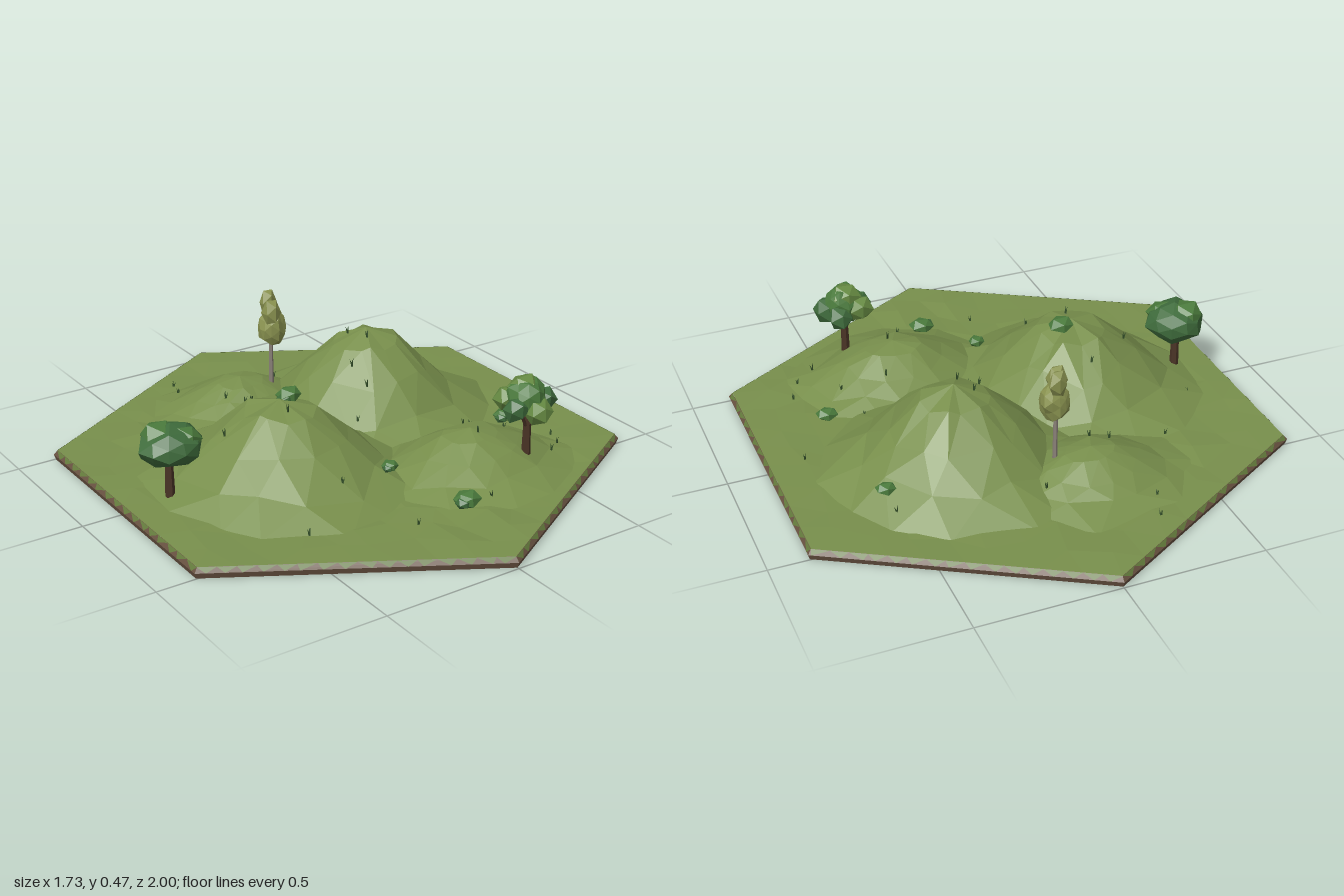
import * as THREE from 'three';

const TOP = 0.037;
const paint = (color, side = THREE.FrontSide) => new THREE.MeshStandardMaterial({ color, flatShading: true, roughness: 1, side });
const grass = paint(0x788f4c), soil = paint(0x66503f), under = paint(0x3c332a), bark = paint(0x4a3426);
const paleBark = paint(0x8a8178), leaf = paint(0x4a7a3c), lightLeaf = paint(0x668a42), darkLeaf = paint(0x3f6c3c);
const oliveLeaf = paint(0x8a9350), tuft = paint(0x34502a, THREE.DoubleSide);

// Repeatable noise in -1..1, equal for coincident points
function noise(x, y, z) {
  const s = Math.sin(Math.round(x * 1000) * 12.9898 + Math.round(y * 1000) * 78.233 + Math.round(z * 1000) * 37.719) * 43758.5453;
  return (s - Math.floor(s)) * 2 - 1;
}

// Hills: centre, radii, height
const hills = [
  { name: 'leftHill', x: -0.3, z: 0.09, rx: 0.48, rz: 0.52, h: 0.275 },
  { name: 'rightHill', x: 0.26, z: -0.21, rx: 0.47, rz: 0.47, h: 0.31 },
  { name: 'frontMound', x: 0.27, z: 0.4, rx: 0.42, rz: 0.33, h: 0.142 },
  { name: 'backMound', x: -0.13, z: -0.46, rx: 0.37, rz: 0.3, h: 0.12 },
];
const slope = r => (r < 1 ? Math.cos(r * Math.PI / 2) ** 2 : 0);
const groundY = (x, z) => Math.max(...hills.map(k => TOP + k.h * slope(Math.hypot((x - k.x) / k.rx, (z - k.z) / k.rz))));

function add(group, name, geometry, material, x = 0, y = 0, z = 0) {
  const mesh = new THREE.Mesh(geometry, material);
  mesh.name = name;
  mesh.position.set(x, y, z);
  group.add(mesh);
  return mesh;
}

// Indexed surface, each triangle turned to face up
function surface(pts, tris) {
  const index = [];
  for (const [a, b, c] of tris) {
    const [A, B, C] = [pts[a], pts[b], pts[c]];
    const up = (B[2] - A[2]) * (C[0] - A[0]) - (B[0] - A[0]) * (C[2] - A[2]);
    index.push(...(up > 0 ? [a, b, c] : [a, c, b]));
  }
  const g = new THREE.BufferGeometry();
  g.setAttribute('position', new THREE.Float32BufferAttribute(pts.flat(), 3));
  g.setIndex(index);
  g.computeVertexNormals();
  return g;
}

// Gently uneven hexagonal meadow on a triangular lattice
function meadowGeometry(n = 8, radius = 0.985) {
  const pts = [], ids = new Map(), tris = [], s = radius / n;
  for (let i = -n; i <= n; i++) for (let j = -n; j <= n; j++) {
    const ring = Math.max(Math.abs(i), Math.abs(j), Math.abs(i + j));
    if (ring > n) continue;
    const k = ring < n ? 1 : 0;
    ids.set(i + ',' + j, pts.length);
    pts.push([j * s * 0.866 + k * 0.028 * noise(i, j, 1), TOP + k * 0.006 * noise(i, j, 2), (i + j / 2) * s + k * 0.028 * noise(i, j, 3)]);
  }
  const id = (i, j) => ids.get(i + ',' + j);
  for (let i = -n; i <= n; i++) for (let j = -n; j <= n; j++) {
    for (const t of [[id(i, j), id(i + 1, j), id(i, j + 1)], [id(i + 1, j), id(i + 1, j + 1), id(i, j + 1)]]) {
      if (t.every(v => v !== undefined)) tris.push(t);
    }
  }
  return surface(pts, tris);
}

// Faceted dome of staggered rings
function hillGeometry({ x, z, rx, rz, h }, seed) {
  const radii = [0.24, 0.46, 0.7, 1], n = 13, pts = [[x, TOP + h, z]], tris = [];
  radii.forEach((r, ring) => {
    for (let i = 0; i < n; i++) {
      const a = (i + ring / 2 + 0.3 * noise(i, ring, seed)) / n * Math.PI * 2;
      const d = r * (1 + 0.09 * noise(i, ring, seed + 9));
      const y = ring === 3 ? TOP - 0.008 : TOP + h * slope(d) * (1 + 0.05 * noise(i, ring, seed + 5));
      pts.push([x + Math.cos(a) * d * rx, y, z + Math.sin(a) * d * rz]);
      const at = (q, k) => 1 + q * n + (k + n) % n;
      if (ring === 0) tris.push([0, at(0, i), at(0, i + 1)]);
      else tris.push([at(ring - 1, i), at(ring - 1, i + 1), at(ring, i)], [at(ring - 1, i + 1), at(ring, i), at(ring, i + 1)]);
    }
  });
  return surface(pts, tris);
}

// Rim of tapering soil with grass wedges hanging over it
function rimWedges(count = 16) {
  const pos = [];
  const corner = (k, r) => [Math.sin(k * Math.PI / 3) * r, Math.cos(k * Math.PI / 3) * r];
  for (let k = 0; k < 6; k++) {
    const at = (t, r, y) => {
      const a = corner(k, r), b = corner(k + 1, r);
      return [a[0] + (b[0] - a[0]) * t, y, a[1] + (b[1] - a[1]) * t];
    };
    for (let i = 0; i < count; i++) {
      const tip = (i + 0.5 + 0.35 * noise(i, k, 4)) / count;
      pos.push(...at(i / count, 0.9865, TOP), ...at(tip, 1.001, 0.021), ...at((i + 1) / count, 0.9865, TOP));
    }
  }
  const g = new THREE.BufferGeometry();
  g.setAttribute('position', new THREE.Float32BufferAttribute(pos, 3));
  g.computeVertexNormals();
  return g;
}

// Rough faceted lump for crowns and bushes
function lump(group, name, material, [x, y, z], [rx, ry, rz], detail = 0) {
  const g = new THREE.IcosahedronGeometry(1, detail), p = g.attributes.position;
  for (let i = 0; i < p.count; i++) {
    const v = new THREE.Vector3().fromBufferAttribute(p, i);
    v.multiplyScalar(1 + 0.13 * noise(v.x + x, v.y + y, v.z + z));
    p.setXYZ(i, v.x * rx, v.y * ry, v.z * rz);
  }
  g.computeVertexNormals();
  add(group, name, g, material, x, y, z);
}

function tree(name, x, z, crownBase, radius, trunkMaterial, lumps) {
  const t = new THREE.Group();
  t.name = name;
  const y0 = groundY(x, z) - 0.015, h = crownBase - y0;
  add(t, 'trunk', new THREE.CylinderGeometry(radius * 0.75, radius, h, 6), trunkMaterial, x, y0 + h / 2, z);
  for (const [material, centre, size, detail] of lumps) lump(t, 'crown', material, centre, size, detail);
  return t;
}

export function createModel() {
  const model = new THREE.Group();

  // Hexagonal slab
  add(model, 'slabSide', new THREE.CylinderGeometry(1, 0.993, 0.02, 6, 1, true), soil, 0, 0.011, 0);
  add(model, 'slabBevel', new THREE.CylinderGeometry(0.985, 1, TOP - 0.021, 6, 1, true), soil, 0, (TOP + 0.021) / 2, 0);
  add(model, 'slabBottom', new THREE.CircleGeometry(0.994, 6, Math.PI / 2), under, 0, 0.001, 0).rotation.x = Math.PI / 2;
  add(model, 'grassRim', rimWedges(), paint(0x637a3c, THREE.DoubleSide));

  // Ground and hills
  add(model, 'meadow', meadowGeometry(), grass);
  hills.forEach((k, i) => add(model, k.name, hillGeometry(k, i + 2), grass));

  // Trees
  model.add(tree('sideTree', -0.705, 0.055, 0.21, 0.017, bark, [
    [darkLeaf, [-0.695, 0.235, 0.055], [0.105, 0.073, 0.105], 1],
    [leaf, [-0.73, 0.272, 0.03], [0.065, 0.047, 0.065], 0],
    [leaf, [-0.655, 0.26, 0.085], [0.05, 0.045, 0.055], 0],
  ]));
  const front = tree('frontTree', 0.41, 0.53, 0.27, 0.016, bark, [
    [leaf, [0.41, 0.305, 0.52], [0.07, 0.07, 0.068], 1],
    [lightLeaf, [0.405, 0.338, 0.51], [0.056, 0.043, 0.055], 0],
  ]);
  for (let i = 0; i < 5; i++) {
    const a = i / 5 * Math.PI * 2 + 0.2;
    lump(front, 'crown', i % 2 ? lightLeaf : darkLeaf, [0.408 + 0.066 * Math.cos(a), 0.285 + 0.018 * noise(i, 1, 1), 0.52 + 0.06 * Math.sin(a)], [0.05, 0.048, 0.045]);
  }
  for (const [dx, dz] of [[-0.045, 0.015], [0.045, -0.02], [0.01, 0.045]]) {
    const path = new THREE.LineCurve3(new THREE.Vector3(0.41, 0.19, 0.53), new THREE.Vector3(0.41 + dx, 0.265, 0.53 + dz));
    add(front, 'branch', new THREE.TubeGeometry(path, 1, 0.006, 5), bark);
  }
  model.add(front);
  model.add(tree('slenderTree', -0.015, -0.425, 0.32, 0.009, paleBark, [
    [oliveLeaf, [-0.013, 0.34, -0.42], [0.052, 0.07, 0.05], 1],
    [oliveLeaf, [-0.008, 0.425, -0.452], [0.036, 0.055, 0.028], 0],
    [oliveLeaf, [-0.028, 0.405, -0.395], [0.036, 0.052, 0.034], 0],
  ]));

  // Bushes
  for (const [x, y, z, r] of [[-0.25, 0.31, 0.07, 0.05], [-0.05, 0.115, 0.38, 0.033], [0.07, 0.068, 0.64, 0.05], [0.59, 0.066, 0.19, 0.042], [0.56, 0.112, -0.37, 0.036]]) {
    const bush = new THREE.Group();
    bush.name = 'bush';
    lump(bush, 'bushLeaves', leaf, [x, y, z], [r, r * 0.56, r * 0.85]);
    lump(bush, 'bushLeaves', darkLeaf, [x - r * 0.4, y - r * 0.12, z + r * 0.2], [r * 0.62, r * 0.42, r * 0.6]);
    model.add(bush);
  }

  // Grass tufts: three leaning blades each
  const spots = [[-0.25, -0.75], [-0.28, -0.66], [0.06, -0.53], [-0.47, -0.34], [-0.23, -0.39], [-0.18, -0.34], [-0.66, -0.14], [-0.3, -0.09],
    [-0.49, 0.05], [-0.31, 0.16], [0.2, -0.24], [0.23, -0.16], [0.13, -0.11], [0.14, -0.03], [0.06, 0.03], [0.55, -0.45], [0.73, -0.01],
    [-0.46, 0.52], [-0.26, 0.41], [-0.13, 0.65], [0.17, 0.65], [0.34, 0.27], [0.46, 0.16], [0.5, 0.3], [0.28, 0.43], [0.66, 0.37], [0.62, 0.45], [0.55, 0.5]];
  for (const [x, z] of spots) {
    const t = new THREE.Group();
    t.name = 'grassTuft';
    t.position.set(x, groundY(x, z) - 0.004, z);
    for (let i = 0; i < 3; i++) {
      const blade = new THREE.ConeGeometry(0.0045, 0.03, 3).translate(0, 0.013, 0).rotateZ(0.1 + 0.12 * i).rotateY(i * 2.1 + x * 9);
      add(t, 'blade', blade, tuft);
    }
    model.add(t);
  }
  return model;
}
